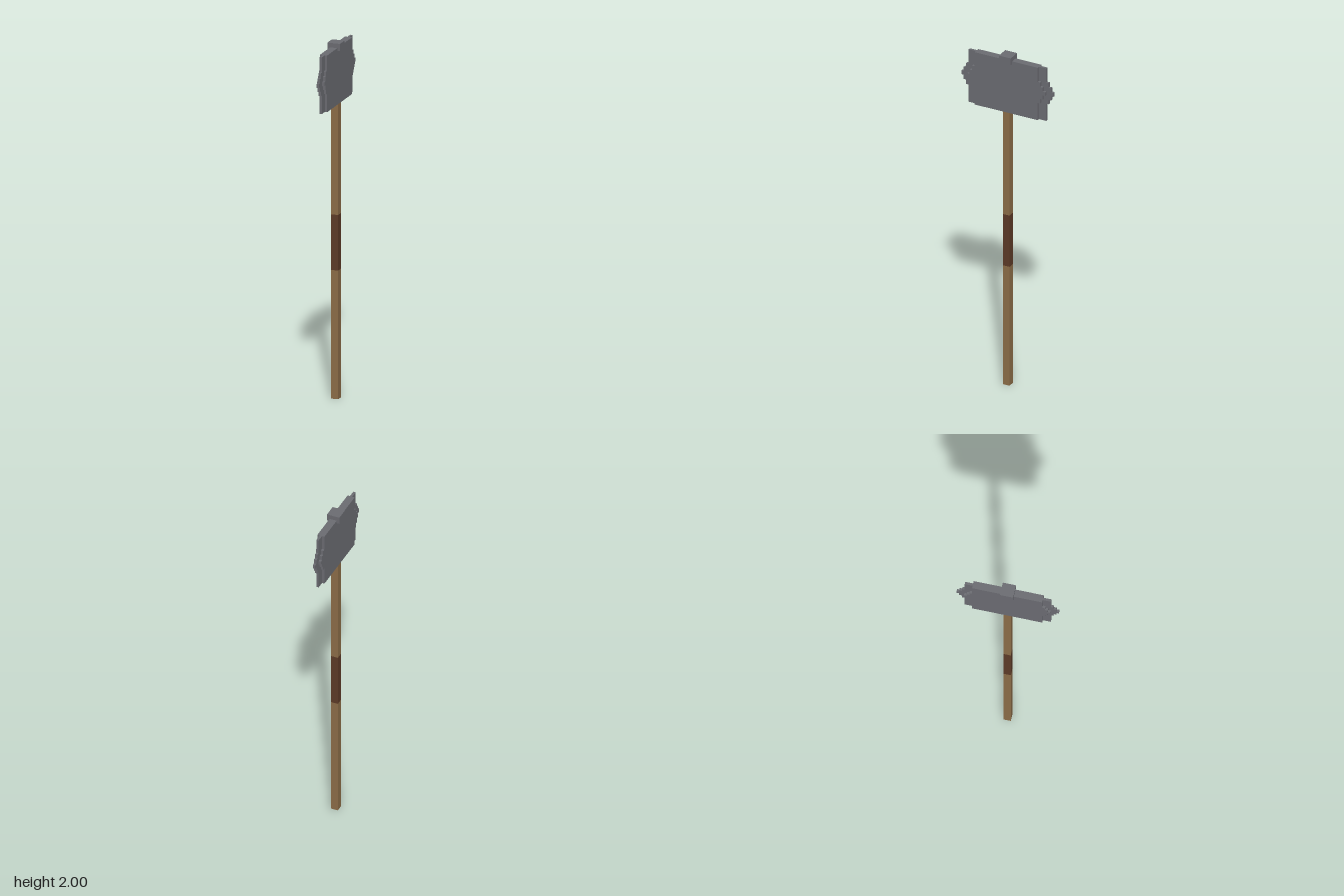
import * as THREE from 'three';

const metal = new THREE.MeshStandardMaterial({ color: 0x6a6b71 });
metal.name = 'grey metal';
const wood = new THREE.MeshStandardMaterial({ color: 0x8b6c47 });
wood.name = 'wood';
const leather = new THREE.MeshStandardMaterial({ color: 0x5c3a27 });
leather.name = 'dark leather';

const HEAD_BOTTOM = 1.657, HEAD_TOP = 1.975, STEP_CENTRE = 1.825;

// Box spanning y0..y1, centred on the axis
function post(name, width, y0, y1, material) {
  const mesh = new THREE.Mesh(new THREE.BoxGeometry(width, y1 - y0, width), material);
  mesh.position.y = (y0 + y1) / 2;
  mesh.name = name;
  return mesh;
}

// Plate in the z-y plane whose two ends step outwards to a blunt point
function steppedPlate(name, halfLength, thickness) {
  const steps = [[0.064, 0.015], [0.037, 0.03], [0.0115, 0.045]]; // half height, reach
  const edge = [[halfLength, HEAD_BOTTOM]];
  let reach = 0;
  for (const [h, r] of steps) {
    edge.push([halfLength + reach, STEP_CENTRE - h], [halfLength + r, STEP_CENTRE - h]);
    reach = r;
  }
  for (let i = steps.length - 1; i >= 0; i--) {
    const [h, r] = steps[i];
    const inner = i > 0 ? steps[i - 1][1] : 0;
    edge.push([halfLength + r, STEP_CENTRE + h], [halfLength + inner, STEP_CENTRE + h]);
  }
  edge.push([halfLength, HEAD_TOP]);
  const mirrored = edge.map(([z, y]) => [-z, y]).reverse();
  const shape = new THREE.Shape([...edge, ...mirrored].map(([z, y]) => new THREE.Vector2(z, y)));
  const geometry = new THREE.ExtrudeGeometry(shape, { depth: thickness, bevelEnabled: false });
  geometry.translate(0, 0, -thickness / 2);
  geometry.rotateY(Math.PI / 2);
  const mesh = new THREE.Mesh(geometry, metal);
  mesh.name = name;
  return mesh;
}

export function createModel() {
  const model = new THREE.Group();
  model.name = 'battleAxe';

  // Shaft with a flush grip
  model.add(
    post('lowerHandle', 0.04, 0, 0.722, wood),
    post('grip', 0.04, 0.722, 1.034, leather),
    post('upperHandle', 0.04, 1.034, HEAD_BOTTOM + 0.02, wood),
  );

  // Thick head body with a thin blade running through it
  const head = new THREE.Group();
  head.name = 'head';
  head.add(
    steppedPlate('headBody', 0.194, 0.042),
    steppedPlate('cuttingBlade', 0.238, 0.014),
    post('cap', 0.073, 1.959, 2, metal),
  );
  model.add(head);
  return model;
}
